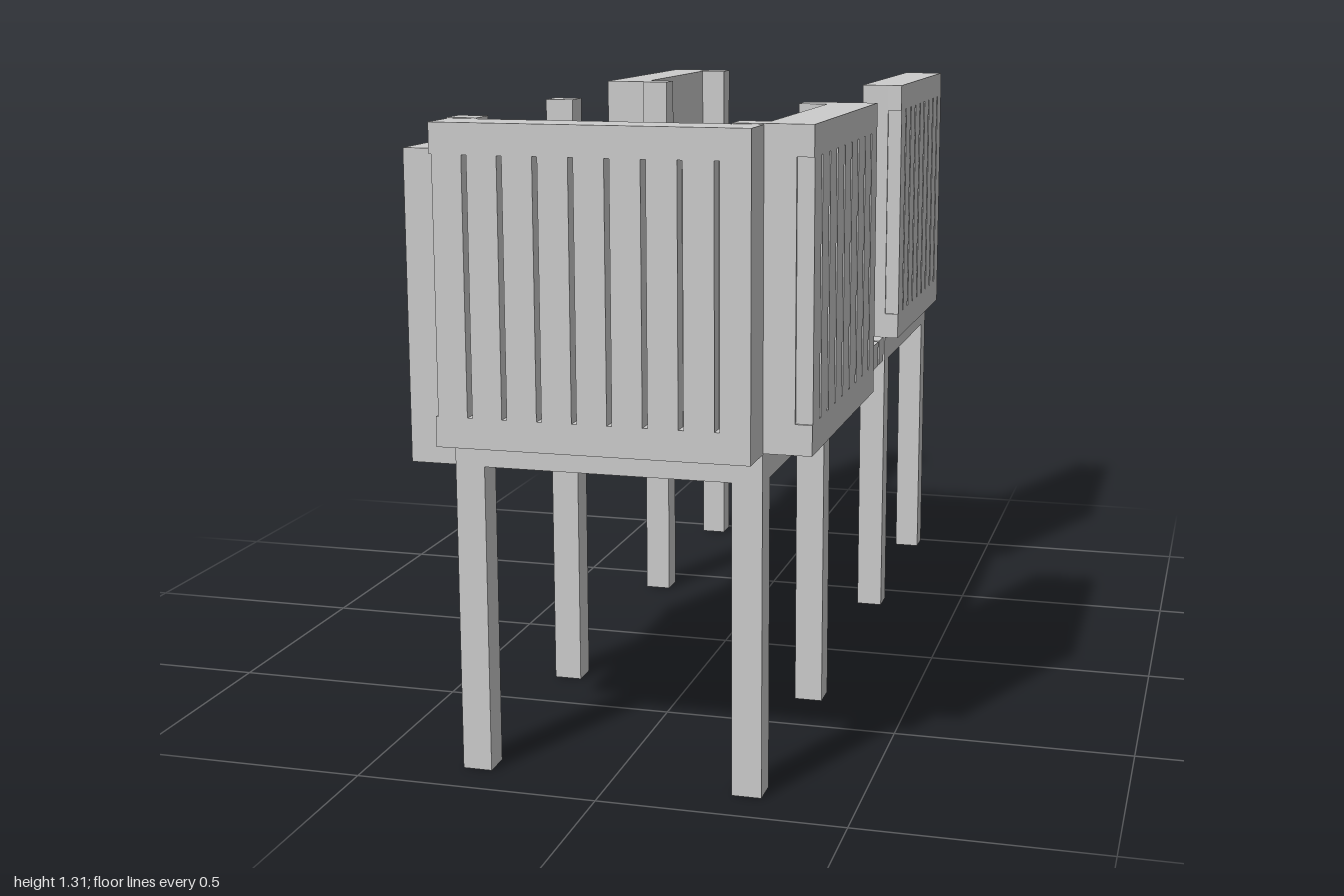
import * as THREE from 'three';

const material = new THREE.MeshStandardMaterial({ color: 0xcccccc, flatShading: true });

// Box given by its min and max on each axis
function box(name, x0, x1, y0, y1, z0, z1) {
  const mesh = new THREE.Mesh(new THREE.BoxGeometry(x1 - x0, y1 - y0, z1 - z0), material);
  mesh.position.set((x0 + x1) / 2, (y0 + y1) / 2, (z0 + z1) / 2);
  mesh.name = name;
  return mesh;
}

// Square wall panel, plain inside (z = 0), grooved outside (z = thickness)
function wallPanel(name, x, y, z, turn) {
  const half = 0.31, size = 0.62, thickness = 0.095, depth = 0.033;
  const low = 0.06, high = 0.56, groove = 0.005, pitch = 0.0695;
  const panel = new THREE.Group();
  panel.name = name;
  panel.add(box('panelBacking', -half, half, 0, size, 0, thickness - depth));

  // Outer layer: a notch on the left edge, then slots at an even pitch
  const face = new THREE.Shape([
    [-half, 0], [half, 0], [half, size], [-half, size],
    [-half, high], [-half + groove, high], [-half + groove, low], [-half, low],
  ].map(([px, py]) => new THREE.Vector2(px, py)));
  for (let i = 1; i < 9; i++) {
    const c = -half + i * pitch;
    face.holes.push(new THREE.Path([
      [c - groove, low], [c - groove, high], [c + groove, high], [c + groove, low],
    ].map(([px, py]) => new THREE.Vector2(px, py))));
  }
  const front = new THREE.Mesh(
    new THREE.ExtrudeGeometry(face, { depth, bevelEnabled: false }), material);
  front.position.z = thickness - depth;
  front.name = 'groovedFace';
  panel.add(front);

  panel.position.set(x, y, z);
  panel.rotation.y = turn;
  return panel;
}

// Platform on four tall corner posts
function tower(name, zc) {
  const group = new THREE.Group();
  group.name = name;
  group.add(box('platform', -0.31, 0.31, 0.63, 0.69, zc - 0.31, zc + 0.31));
  for (const sx of [-1, 1]) for (const sz of [-1, 1]) {
    const x = sx * 0.28, z = zc + sz * 0.28;
    group.add(box('cornerPost', x - 0.03, x + 0.03, 0, 1.31, z - 0.03, z + 0.03));
  }
  return group;
}

export function createModel() {
  const model = new THREE.Group();
  model.name = 'playTower';
  const quarter = Math.PI / 2;

  // Front tower, closed on three sides
  const front = tower('frontTower', 0.597);
  front.add(
    wallPanel('frontWall', 0, 0.688, 0.905, 0),
    wallPanel('frontLeftWall', 0.31, 0.69, 0.595, quarter),
    wallPanel('frontRightWall', -0.31, 0.63, 0.59, -quarter));
  model.add(front);

  // Back tower, open at the rear; its left wall encloses the posts
  const back = tower('backTower', -0.682);
  back.add(
    wallPanel('backLeftWall', 0.247, 0.69, -0.682, quarter),
    wallPanel('backRightWall', -0.31, 0.69, -0.69, -quarter));
  model.add(back);

  // Slatted bridge on two beams
  const bridge = new THREE.Group();
  bridge.name = 'bridge';
  bridge.add(
    box('bridgeBeam', 0.184, 0.245, 0.573, 0.635, -0.43, 0.285),
    box('bridgeBeam', -0.247, -0.187, 0.573, 0.635, -0.43, 0.285));
  for (let i = 0; i < 9; i++) {
    const z = 0.235 - i * 0.07;
    bridge.add(box('bridgeSlat', -0.31, 0.31, 0.635, 0.695, z - 0.029, z + 0.029));
  }
  model.add(bridge);

  return model;
}
